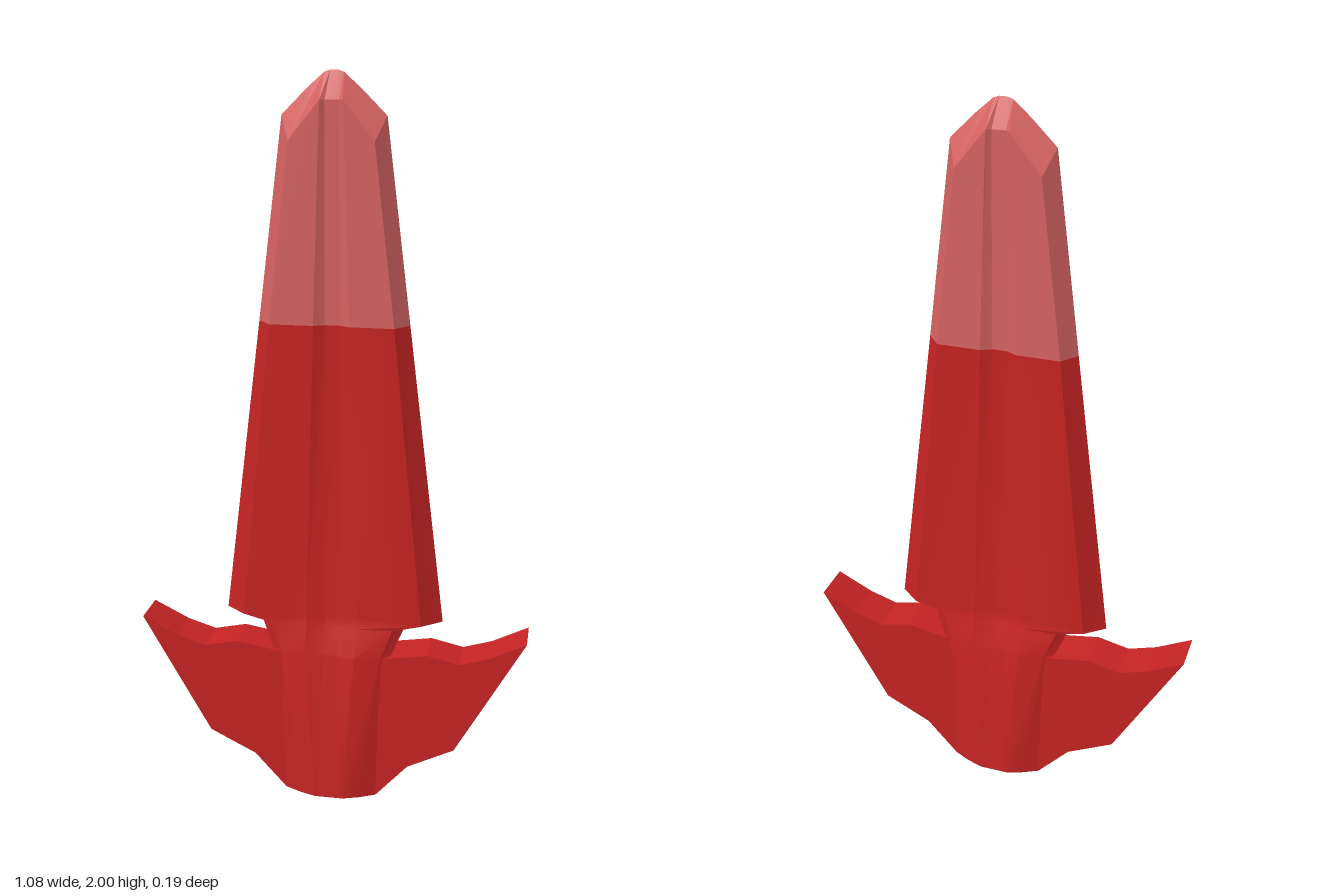
import * as THREE from 'three';
import { toCreasedNormals } from 'three/addons/utils/BufferGeometryUtils.js';

const red = new THREE.MeshStandardMaterial({ color: 0xc52323 });
red.name = 'deep red';
const pale = new THREE.MeshStandardMaterial({ color: 0xd66262 });
pale.name = 'pale red';

// Mirror a quarter section (groove floor, groove lip, bevel line, edge) into a closed ring
function ring(quarter) {
  const side = (sx, sz) => quarter.map(([x, y, z]) => new THREE.Vector3(x * sx, y, z * sz));
  return [...side(1, 1).reverse(), ...side(-1, 1), ...side(-1, -1).reverse(), ...side(1, -1)];
}

// Skin a stack of rings, optionally closing the bottom
function loft(quarters, material, name, capBottom = false) {
  const rings = quarters.map(ring);
  const pos = [];
  const tri = (a, b, c) => {
    const area = b.clone().sub(a).cross(c.clone().sub(a)).length();
    if (area > 1e-8) for (const p of [a, b, c]) pos.push(p.x, p.y, p.z);
  };
  for (let r = 0; r < rings.length - 1; r++) {
    const lo = rings[r], hi = rings[r + 1], n = lo.length;
    for (let i = 0; i < n; i++) {
      const j = (i + 1) % n;
      tri(lo[j], lo[i], hi[i]);
      tri(lo[j], hi[i], hi[j]);
    }
  }
  if (capBottom) {
    const b = rings[0];
    for (let i = 1; i < b.length - 1; i++) tri(b[0], b[i], b[i + 1]);
  }
  const geo = new THREE.BufferGeometry();
  geo.setAttribute('position', new THREE.Float32BufferAttribute(pos, 3));
  const mesh = new THREE.Mesh(toCreasedNormals(geo, 0.3), material);
  mesh.name = name;
  return mesh;
}

export function createModel() {
  const group = new THREE.Group();
  group.name = 'dagger';

  // Quarter sections, from centre groove out to the cutting edge
  const foot = [[0.02, 0, 0.095], [0.04, 0, 0.095], [0.085, 0, 0.08], [0.13, 0, 0.058]];
  const hub = [[0.02, 0.43, 0.062], [0.07, 0.43, 0.075], [0.14, 0.43, 0.06], [0.165, 0.43, 0.045]];
  const neck = [[0.02, 0.51, 0.034], [0.07, 0.51, 0.05], [0.17, 0.51, 0.045], [0.2, 0.51, 0.02]];
  const heel = [[0.02, 0.54, 0.03], [0.07, 0.54, 0.045], [0.25, 0.53, 0.045], [0.305, 0.53, 0]];
  const middle = [[0.02, 1.36, 0.03], [0.048, 1.36, 0.045], [0.165, 1.36, 0.045], [0.201, 1.36, 0]];
  const shoulder = [[0.018, 1.93, 0.035], [0.03, 1.93, 0.045], [0.11, 1.83, 0.045], [0.135, 1.89, 0]];
  const tip = [[0.01, 2, 0], [0.025, 1.995, 0], [0.07, 1.955, 0], [0.135, 1.89, 0]];

  group.add(loft([foot, hub, neck, heel, middle], red, 'hubAndLowerBlade', true));
  group.add(loft([middle, shoulder, tip], pale, 'bladeTip'));

  // Swept guard wings, one plate running through the hub
  const half = [[0.13, 0], [0.22, 0.1], [0.35, 0.165], [0.54, 0.505], [0.44, 0.455],
    [0.36, 0.43], [0.27, 0.45], [0.16, 0.432]];
  const outline = [...half, ...half.map(([x, y]) => [-x, y]).reverse()];
  const shape = new THREE.Shape(outline.map(([x, y]) => new THREE.Vector2(x, y)));
  const plate = new THREE.ExtrudeGeometry(shape, { depth: 0.116, bevelEnabled: false });
  plate.translate(0, 0, -0.058);
  const guard = new THREE.Mesh(plate, red);
  guard.name = 'guardWings';
  group.add(guard);

  return group;
}
